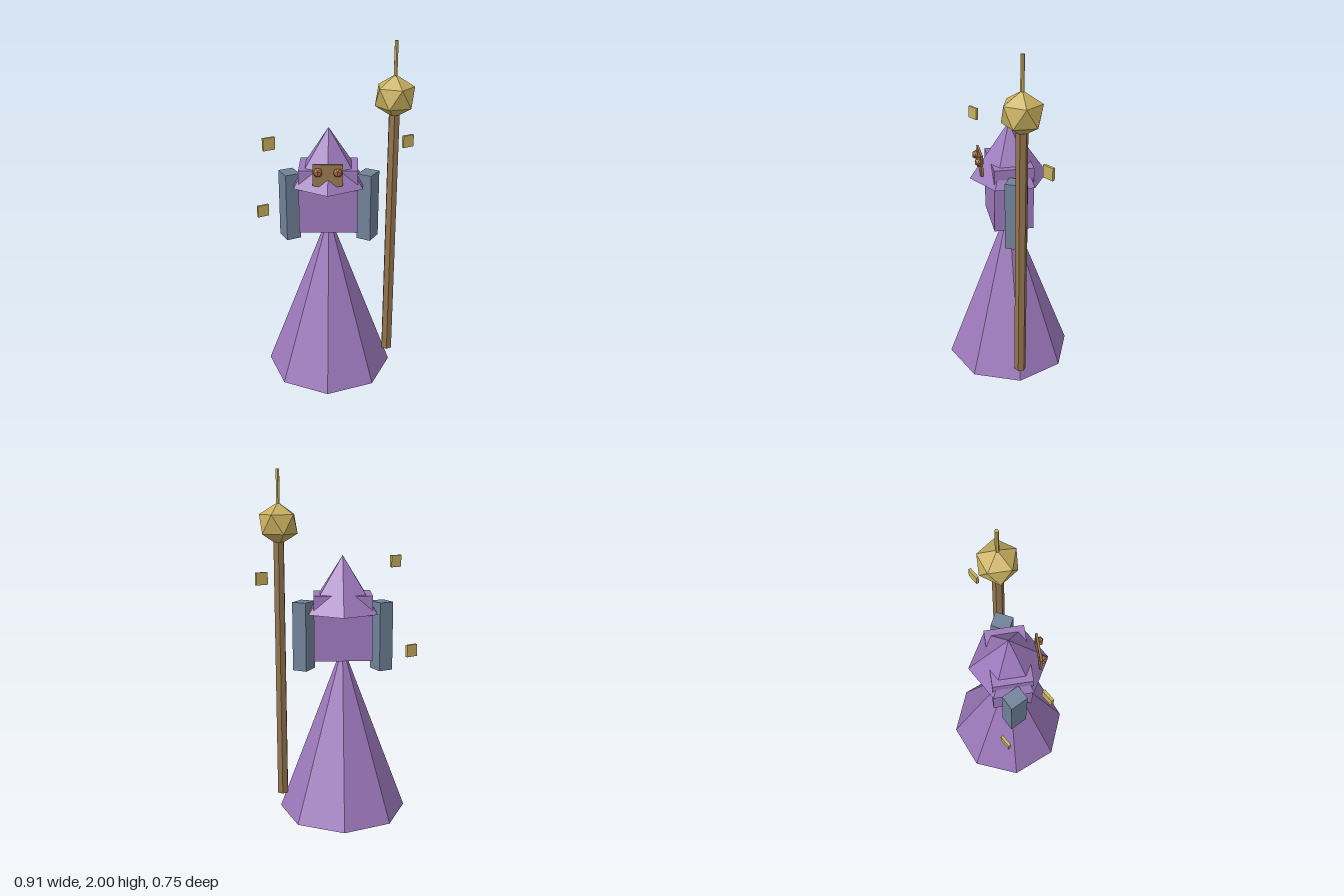
import * as THREE from 'three';

export function createModel() {
  const model = new THREE.Group();
  model.name = 'robedStaffBearer';

  const material = (name, color) => {
    const m = new THREE.MeshStandardMaterial({ color, flatShading: true });
    m.name = name;
    return m;
  };
  const purple = material('purple cloth', 0x9d79bc);
  const slate = material('slate sleeves', 0x708298);
  const gold = material('gold', 0xc9b05f);
  const wood = material('brown wood', 0x95754f);
  const copper = material('copper', 0xb06c43);

  const add = (parent, name, geometry, mat, x, y, z, turn = 0) => {
    const mesh = new THREE.Mesh(geometry, mat);
    mesh.name = name;
    mesh.position.set(x, y, z);
    mesh.rotation.y = turn;
    parent.add(mesh);
    return mesh;
  };

  // Figure, standing slightly to the side of the staff
  const figure = new THREE.Group();
  figure.name = 'figure';
  figure.position.x = -0.031;
  model.add(figure);

  add(figure, 'robe', new THREE.ConeGeometry(0.375, 1, 8), purple, 0, 0.5, 0);
  add(figure, 'torso', new THREE.BoxGeometry(0.332, 0.375, 0.225), purple, 0, 1.12, 0);
  add(figure, 'hood', new THREE.ConeGeometry(0.225, 0.325, 6), purple, 0, 1.3625, 0);

  // Mask with a notched lower edge
  const maskShape = new THREE.Shape([
    [-0.083, 0.065], [-0.083, -0.058], [-0.045, -0.065], [0, -0.028],
    [0.045, -0.065], [0.083, -0.058], [0.083, 0.065],
  ].map(([x, y]) => new THREE.Vector2(x, y)));
  add(figure, 'mask',
    new THREE.ExtrudeGeometry(maskShape, { depth: 0.013, bevelEnabled: false }),
    wood, 0, 1.3, 0.159);

  // Mirrored sleeves and eyes
  for (const [side, s] of [['left', 1], ['right', -1]]) {
    add(figure, side + 'Sleeve', new THREE.BoxGeometry(0.087, 0.4, 0.107),
      slate, s * 0.226, 1.06, 0, -s * 0.48);
    add(figure, side + 'Eye', new THREE.IcosahedronGeometry(0.028, 0),
      copper, s * 0.054, 1.32, 0.176);
  }

  // Staff with a faceted orb and a thin finial
  const staff = new THREE.Group();
  staff.name = 'staff';
  staff.position.x = 0.33;
  model.add(staff);
  add(staff, 'shaft', new THREE.CylinderGeometry(0.033, 0.034, 1.51, 6), wood, 0, 0.845, 0);
  const orb = add(staff, 'orb', new THREE.IcosahedronGeometry(0.12, 0), gold, 0, 1.7, 0);
  orb.rotation.z = -0.5536; // one corner straight up
  add(staff, 'finial', new THREE.CylinderGeometry(0.011, 0.011, 0.25, 6), gold, 0, 1.875, 0);

  // Floating tablets
  const tablets = [[-0.35, 1.475, 0.152], [0.422, 1.408, -0.122], [-0.424, 0.985, -0.076]];
  tablets.forEach(([x, y, z], i) => {
    add(model, 'floatingTablet' + (i + 1), new THREE.BoxGeometry(0.07, 0.07, 0.016),
      gold, x, y, z, 0.54);
  });

  return model;
}
